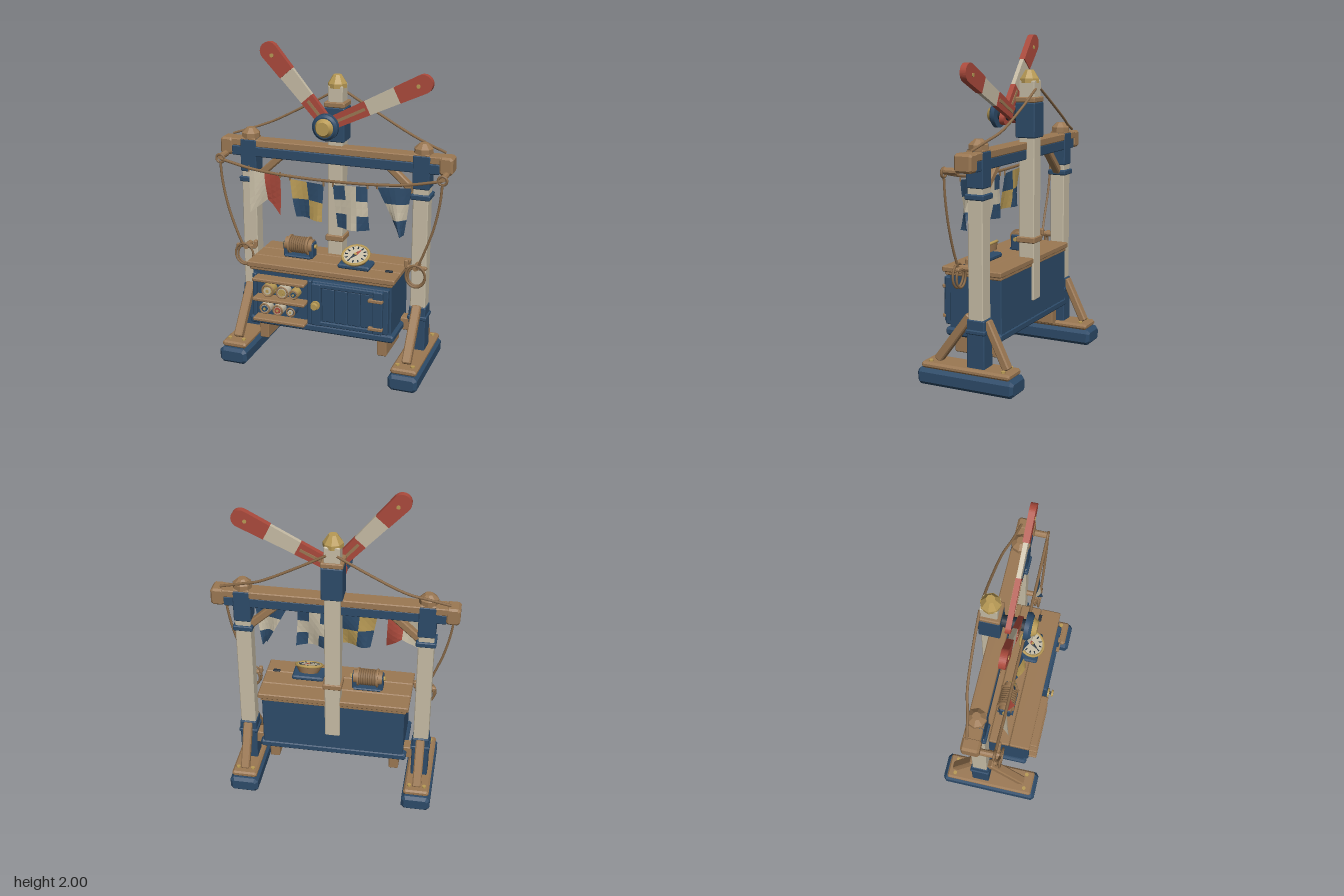
import * as THREE from 'three';
import { toCreasedNormals } from 'three/addons/utils/BufferGeometryUtils.js';

const make = (name, color, side = THREE.FrontSide) => {
  const m = new THREE.MeshStandardMaterial({ color, side });
  m.name = name;
  return m;
};

export function createModel() {
  const wood = make('wood', 0x9b7853), blue = make('navy paint', 0x2d4b69), cream = make('cream paint', 0xc6bca5);
  const red = make('red paint', 0xab4a3c), brass = make('brass', 0xb89a55), rope = make('rope', 0x8c6c4a);
  const dark = make('dark iron', 0x24303c);
  const cloth = {
    cream: make('cream cloth', 0xc6bca5, THREE.DoubleSide), blue: make('navy cloth', 0x2d4b69, THREE.DoubleSide),
    red: make('red cloth', 0xab4a3c, THREE.DoubleSide), brass: make('yellow cloth', 0xb89a55, THREE.DoubleSide),
  };
  const root = new THREE.Group();
  const add = (name, geo, mat, x = 0, y = 0, z = 0, parent = root) => {
    const m = new THREE.Mesh(geo, mat);
    m.name = name;
    m.position.set(x, y, z);
    parent.add(m);
    return m;
  };

  // Box with chamfered edges
  const bevelBox = (w, h, d, c = 0.006) => {
    const a = w / 2 - c, b = h / 2 - c, k = c * 0.6;
    const s = new THREE.Shape([[-a + k, -b], [a - k, -b], [a, -b + k], [a, b - k], [a - k, b], [-a + k, b], [-a, b - k], [-a, -b + k]]
      .map(p => new THREE.Vector2(...p)));
    const g = new THREE.ExtrudeGeometry(s, { depth: d - 2 * c, bevelThickness: c, bevelSize: c, bevelSegments: 1 });
    return g.translate(0, 0, -d / 2 + c);
  };
  // Box given by its x, y and z ranges
  const box = (name, mat, [x0, x1], [y0, y1], [z0, z1], c = 0.005, parent = root) =>
    add(name, c ? bevelBox(x1 - x0, y1 - y0, z1 - z0, c) : new THREE.BoxGeometry(x1 - x0, y1 - y0, z1 - z0),
      mat, (x0 + x1) / 2, (y0 + y1) / 2, (z0 + z1) / 2, parent);
  const cyl = (name, mat, rTop, rBottom, h, x, y, z, axis = 'y', seg = 20, parent = root) => {
    const g = new THREE.CylinderGeometry(rTop, rBottom, h, seg);
    if (axis === 'z') g.rotateX(Math.PI / 2);
    if (axis === 'x') g.rotateZ(-Math.PI / 2);
    return add(name, toCreasedNormals(g, 0.5), mat, x, y, z, parent);
  };
  const strut = (name, mat, a, b, w, t) => {
    const p = new THREE.Vector3(...a), q = new THREE.Vector3(...b);
    const m = add(name, bevelBox(w, t, p.distanceTo(q)), mat, ...p.clone().add(q).multiplyScalar(0.5).toArray());
    m.lookAt(q);
    return m;
  };
  const cord = (name, pts, r = 0.008) => add(name, new THREE.TubeGeometry(
    new THREE.CatmullRomCurve3(pts.map(p => new THREE.Vector3(...p))), 28, r, 6), rope);
  const around = (c, r) => [c - r, c + r];

  // Two side frames with feet, posts, braces and rigging
  for (const s of [-1, 1]) {
    const X = 0.55 * s, pz = -0.06;
    box('foot', blue, around(X, 0.09), [0, 0.1], [-0.31, 0.31], 0.018);
    box('footBoard', wood, around(X, 0.08), [0.1, 0.137], [-0.285, 0.285], 0.01);
    for (const dx of [-0.047, 0.047]) for (const z of [-0.235, 0.235])
      cyl('footBolt', brass, 0.013, 0.013, 0.014, X + dx, 0.14, z, 'y', 8);
    box('post', cream, around(X, 0.047), [0.13, 1.28], around(pz, 0.047));
    box('lowerSleeve', blue, around(X, 0.052), [0.13, 0.42], around(pz, 0.056));
    box('sleeveBand', blue, around(X, 0.06), [0.335, 0.362], around(pz, 0.062));
    box('upperSleeve', blue, around(X, 0.052), [1.17, 1.375], around(pz, 0.053));
    box('upperBand', blue, around(X, 0.06), [1.105, 1.138], around(pz, 0.06));
    strut('frontBrace', wood, [X, 0.43, -0.005], [X, 0.142, 0.21], 0.055, 0.05);
    strut('rearBrace', wood, [X, 0.41, -0.11], [X, 0.142, -0.24], 0.055, 0.045);
    strut('kneeBrace', wood, [0.52 * s, 1.12, pz], [0.34 * s, 1.285, pz], 0.05, 0.045);

    // Post cap
    box('capPlate', wood, around(X, 0.052), [1.37, 1.385], around(pz, 0.05));
    cyl('capBlock', wood, 0.058, 0.058, 0.03, X, 1.397, pz, 'y', 8);
    cyl('capTop', wood, 0.025, 0.058, 0.03, X, 1.427, pz, 'y', 8);

    // Beam end, rope peg and eye
    box('beamEnd', wood, around(0.695 * s, 0.042), [1.27, 1.378], [-0.113, -0.005], 0.012);
    cyl('ropePeg', wood, 0.02, 0.02, 0.09, 0.7 * s, 1.275, 0.03, 'z', 10);
    add('pegEye', new THREE.TorusGeometry(0.026, 0.008, 6, 18), rope, 0.7 * s, 1.265, 0.075);

    // Stay rope, halyard, coil and cleat
    cord('stayRope', [[0.03 * s, 1.69, -0.16], [0.2 * s, 1.595, -0.157], [0.43 * s, 1.475, -0.14], [0.55 * s, 1.43, -0.11], [0.68 * s, 1.388, -0.085]]);
    cord('halyard', [[0.7 * s, 1.25, 0.075], [0.69 * s, 1.13, 0.075], [0.655 * s, 0.96, 0.075], [0.6 * s, 0.8, 0.075], [0.56 * s, 0.7, 0.07]]);
    for (let i = 0; i < 2; i++) {
      const ring = add('ropeCoil', new THREE.TorusGeometry(0.06 - i * 0.008, 0.007, 6, 26), rope, 0.555 * s, 0.655 - i * 0.008, 0.075 - i * 0.02);
      ring.scale.y = 1.15;
    }
    cyl('cleatStem', wood, 0.018, 0.018, 0.08, X, 0.7, 0.025, 'z', 8);
    box('cleatBar', wood, around(X, 0.068), [0.69, 0.712], [0.035, 0.06]);
    box('cleatHorn', wood, around(0.49 * s, 0.012), [0.7, 0.745], [0.03, 0.06]);

    // Cabinet runner
    box('runner', wood, around(0.385 * s, 0.03), [0.15, 0.265], [-0.1, 0.18]);
  }

  // Cross beam and lower stretcher
  box('beamTop', wood, [-0.67, 0.67], [1.33, 1.375], [-0.112, -0.012]);
  box('beamLower', blue, [-0.66, 0.66], [1.27, 1.332], [-0.108, -0.008]);
  box('stretcher', wood, [-0.51, 0.51], [0.25, 0.33], [-0.1, -0.02]);

  // Central mast
  const mz = -0.105;
  box('mast', cream, around(0, 0.047), [0.41, 1.74], around(mz - 0.003, 0.05));
  box('mastSleeve', blue, around(0, 0.064), [1.4, 1.61], around(mz, 0.063));
  box('mastCollar', wood, around(0, 0.066), [1.61, 1.642], around(mz, 0.064));
  box('mastLowerCollar', wood, around(0, 0.058), [0.765, 0.802], around(mz, 0.06));
  cyl('mastCapRim', brass, 0.06, 0.06, 0.026, 0, 1.737, mz, 'y', 8);
  cyl('mastCap', brass, 0.026, 0.058, 0.05, 0, 1.775, mz, 'y', 8);

  // Signal arms
  const hubY = 1.528;
  const arm = (name, angle, z, L, c0, c1) => {
    const g = new THREE.Group();
    g.name = name;
    g.position.set(0, hubY, z);
    g.rotation.z = angle;
    root.add(g);
    const half = d => 0.037 + 0.018 * Math.max(d, 0) / L;
    const part = (n, mat, d0, d1, t, tip) => {
      const s = new THREE.Shape();
      s.moveTo(d0, -half(d0));
      s.lineTo(d1, -half(d1));
      if (tip) s.absarc(d1, 0, half(d1), -Math.PI / 2, Math.PI / 2, false);
      else s.lineTo(d1, half(d1));
      s.lineTo(d0, half(d0));
      if (d0 < 0) s.absarc(d0, 0, half(d0), Math.PI / 2, Math.PI * 1.5, false);
      add(n, new THREE.ExtrudeGeometry(s, { depth: t, bevelEnabled: false, curveSegments: 10 }), mat, 0, 0, -t / 2, g);
    };
    part('armRoot', red, -0.03, c0, 0.032, false);
    part('armBand', cream, c0, c1, 0.026, false);
    part('armTip', red, c1, L, 0.038, true);
    box('armBatten', wood, [0.05, c0 - 0.015], [-0.009, 0.009], [-0.02, 0.02], 0, g);
    cyl('armRivet', brass, 0.012, 0.012, 0.046, L - 0.03, 0, 0, 'z', 10, g);
  };
  arm('leftwardArm', 2.29, 0.055, 0.554, 0.2, 0.39);
  arm('rightwardArm', 0.459, 0.002, 0.62, 0.25, 0.45);
  cyl('hubShaft', dark, 0.035, 0.035, 0.14, 0, hubY, 0.025, 'z');
  cyl('hubDisc', blue, 0.08, 0.08, 0.026, 0, hubY, 0.105, 'z', 24);
  cyl('hubRim', blue, 0.064, 0.078, 0.014, 0, hubY, 0.125, 'z', 24);
  cyl('hubCap', brass, 0.04, 0.057, 0.028, 0, hubY, 0.146, 'z', 16);

  // Cabinet
  box('cabinetBase', blue, [-0.465, 0.465], [0.26, 0.308], [-0.15, 0.215], 0.01);
  box('cabinetBody', blue, [-0.445, 0.445], [0.3, 0.63], [-0.145, 0.197]);
  box('topEdge', wood, [-0.455, 0.455], [0.622, 0.646], [-0.148, 0.222]);
  for (let i = 0; i < 3; i++)
    box('topPlank', wood, [-0.47, 0.47], [0.642, 0.676], [-0.155 + i * 0.13, -0.027 + i * 0.13]);

  // Rack with rolled charts
  for (const x of [-0.425, -0.065]) box('rackSide', blue, around(x, 0.012), [0.31, 0.6], [0.19, 0.225]);
  for (const y of [0.315, 0.448, 0.577]) box('rackRail', wood, [-0.42, -0.08], around(y, 0.011), [0.19, 0.275]);
  const rolls = [[-0.325, 0.508, 0.042, brass, cream], [-0.23, 0.508, 0.042, cream, brass], [-0.155, 0.505, 0.03, brass, blue],
    [-0.345, 0.387, 0.036, cream, blue], [-0.26, 0.387, 0.035, cream, red], [-0.175, 0.387, 0.03, blue, cream]];
  for (const [x, y, r, outer, inner] of rolls) {
    cyl('roll', outer, r, r, 0.06, x, y, 0.225, 'z', 14);
    add('rollRim', new THREE.TorusGeometry(r * 0.85, 0.006, 6, 16), wood, x, y, 0.255);
    cyl('rollFace', inner, r * 0.55, r * 0.55, 0.008, x, y, 0.257, 'z', 14);
    cyl('rollCore', brass, r * 0.25, r * 0.25, 0.012, x, y, 0.259, 'z', 8);
  }

  // Door with planks, hinges and knob
  box('door', blue, [-0.045, 0.435], [0.318, 0.605], [0.19, 0.232]);
  for (const x of [-0.012, 0.377]) box('doorStile', blue, around(x, 0.03), [0.325, 0.598], [0.225, 0.257]);
  for (const y of [0.338, 0.585]) box('doorRail', blue, [-0.04, 0.405], around(y, 0.014), [0.225, 0.252]);
  for (let i = 0; i < 4; i++)
    box('doorPlank', blue, [0.022 + i * 0.082, 0.1 + i * 0.082], [0.352, 0.571], [0.225, 0.243]);
  for (const y of [0.36, 0.54]) box('hinge', wood, [0.32, 0.41], around(y, 0.01), [0.24, 0.266], 0.003);
  cyl('latchPlate', brass, 0.028, 0.028, 0.012, -0.01, 0.462, 0.263, 'z', 14);
  cyl('latchStem', dark, 0.01, 0.01, 0.02, -0.01, 0.462, 0.276, 'z', 8);
  cyl('latchKnob', brass, 0.02, 0.024, 0.012, -0.01, 0.462, 0.289, 'z', 14);
  box('topCatch', dark, [0.38, 0.425], [0.675, 0.685], [0.1, 0.12], 0.002);

  // Rope winch
  const wx = -0.195, wy = 0.748, wz = 0.035;
  box('winchBed', blue, around(wx, 0.09), [0.675, 0.69], around(wz, 0.05));
  for (const s of [-1, 1]) {
    box('winchStand', blue, around(wx + 0.083 * s, 0.014), [0.675, 0.775], around(wz, 0.035));
    cyl('winchFlange', wood, 0.058, 0.058, 0.01, wx + 0.06 * s, wy, wz, 'x');
    cyl('winchPin', brass, 0.014, 0.014, 0.02, wx + 0.1 * s, wy, wz, 'x', 8);
  }
  cyl('winchDrum', wood, 0.042, 0.042, 0.18, wx, wy, wz, 'x');
  for (let i = 0; i < 8; i++)
    add('winchTurn', new THREE.TorusGeometry(0.045, 0.008, 6, 20).rotateY(Math.PI / 2), rope, wx - 0.049 + i * 0.014, wy, wz);

  // Tilted compass
  box('compassBase', blue, [0.09, 0.29], [0.675, 0.705], [0.03, 0.155], 0.008);
  const dial = new THREE.Group();
  dial.name = 'compass';
  dial.position.set(0.19, 0.74, 0.095);
  dial.rotation.x = 0.42;
  root.add(dial);
  cyl('compassBowl', wood, 0.085, 0.06, 0.045, 0, -0.01, 0, 'y', 24, dial);
  cyl('compassFace', cream, 0.078, 0.078, 0.006, 0, 0.015, 0, 'y', 24, dial);
  add('compassRim', new THREE.TorusGeometry(0.081, 0.009, 8, 28).rotateX(Math.PI / 2), brass, 0, 0.015, 0, dial);
  for (let i = 0; i < 12; i++) {
    const a = i * Math.PI / 6;
    add('compassTick', new THREE.BoxGeometry(0.007, 0.003, 0.018).rotateY(a), dark, Math.sin(a) * 0.058, 0.019, Math.cos(a) * 0.058, dial);
  }
  const needle = (name, mat, t) => cyl(name, mat, 0.002, 0.013, 0.05, 0, 0.022, 0, 'z', 4, dial)
    .geometry.translate(0, 0, 0.025).scale(1, 0.25, 1).rotateY(t);
  needle('needleNorth', red, 2.6);
  needle('needleSouth', dark, 2.6 + Math.PI);
  cyl('needlePivot', brass, 0.009, 0.009, 0.012, 0, 0.022, 0, 'y', 8, dial);

  // Bunting line
  cord('buntingLine', [[-0.7, 1.262, 0.075], [-0.45, 1.213, 0.075], [0, 1.192, 0.075], [0.45, 1.213, 0.075], [0.7, 1.262, 0.075]], 0.009);

  // Rippled flags: corners TL, TR, BL, BR, a notch depth and a colour rule
  const flag = (name, [tl, tr, bl, br], notch, phase, paint) => {
    const n = 6, parts = {}, mix = THREE.MathUtils.lerp;
    const at = (u, v) => [
      mix(mix(tl[0], tr[0], u), mix(bl[0], br[0], u), v),
      mix(mix(tl[1], tr[1], u), mix(bl[1], br[1], u), v) + notch * v * (1 - Math.abs(2 * u - 1)),
      0.075 + v * (0.01 + 0.025 * Math.sin(u * 5 + v * 2 + phase))];
    for (let i = 0; i < n; i++) for (let j = 0; j < n; j++) {
      const a = at(i / n, j / n), b = at((i + 1) / n, j / n), c = at(i / n, (j + 1) / n), d = at((i + 1) / n, (j + 1) / n);
      (parts[paint(i, j)] ??= []).push(...a, ...c, ...b, ...b, ...c, ...d);
    }
    for (const key in parts) {
      const g = new THREE.BufferGeometry();
      g.setAttribute('position', new THREE.Float32BufferAttribute(parts[key], 3));
      g.computeVertexNormals();
      add(name, g, cloth[key]);
    }
    for (const p of [tl, tr]) cyl('flagTie', rope, 0.006, 0.006, 0.035, p[0], p[1] + 0.008, 0.075, 'y', 6);
  };
  flag('swallowtailFlag', [[-0.51, 1.21], [-0.305, 1.19], [-0.49, 0.95], [-0.295, 0.95]], 0.08, 0,
    i => i < 3 ? 'cream' : 'red');
  flag('quarteredFlag', [[-0.24, 1.18], [-0.025, 1.165], [-0.2, 0.945], [-0.025, 0.94]], 0, 1.5,
    (i, j) => (i < 3) === (j < 3) ? 'brass' : 'blue');
  flag('crossFlag', [[0.035, 1.17], [0.25, 1.18], [0.06, 0.905], [0.265, 0.91]], 0, 3,
    (i, j) => (i >> 1) === 1 || (j >> 1) === 1 ? 'cream' : 'blue');
  flag('pennant', [[0.31, 1.185], [0.52, 1.2], [0.455, 0.9], [0.475, 0.9]], 0, 4.5,
    (i, j) => (j >> 1) === 1 ? 'cream' : 'blue');

  return root;
}
